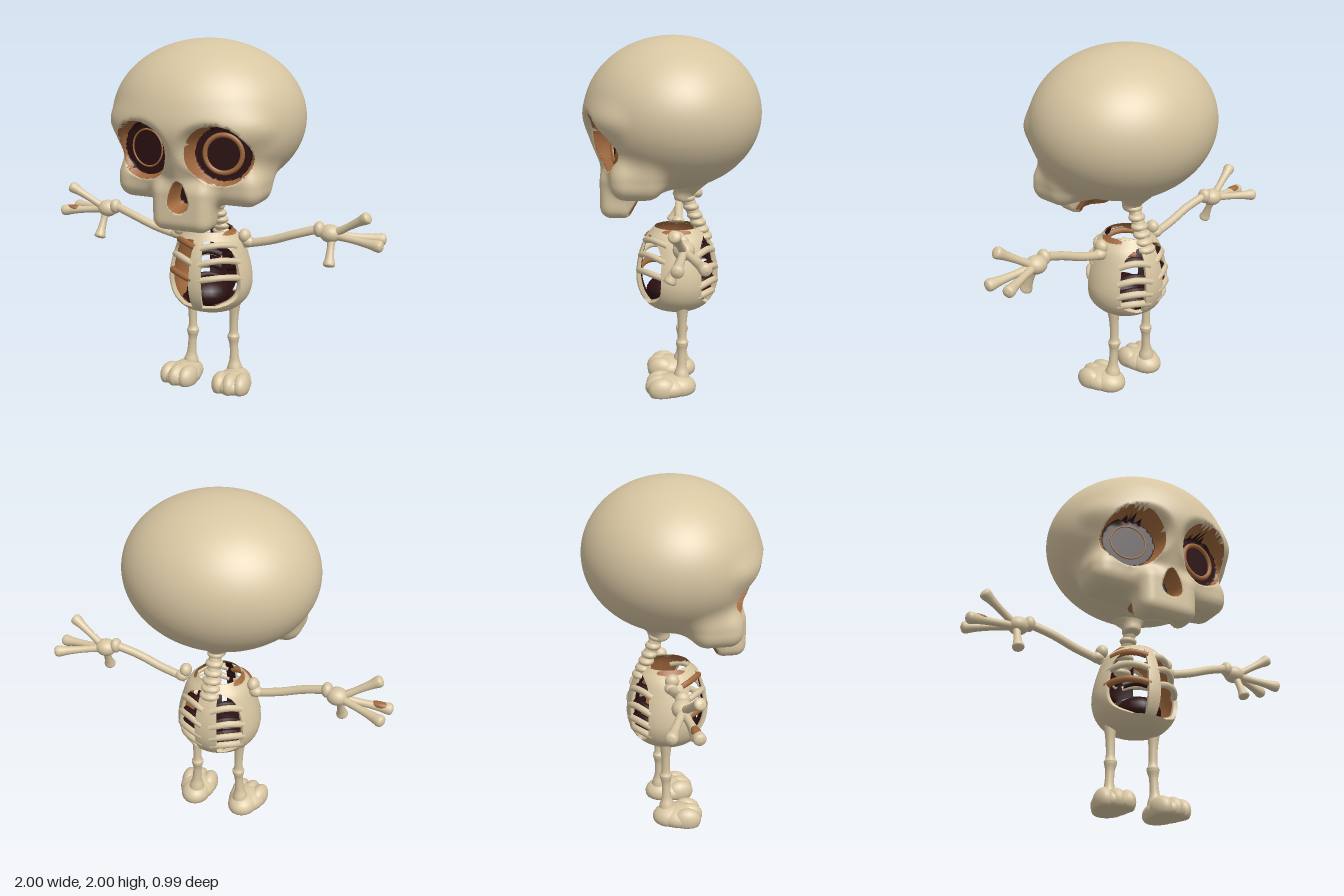
import * as THREE from 'three';
import { mergeVertices } from 'three/addons/utils/BufferGeometryUtils.js';
import { ParametricGeometry } from 'three/addons/geometries/ParametricGeometry.js';

const V = (x, y, z) => new THREE.Vector3(x, y, z);
const material = (name, color) => {
  const m = new THREE.MeshStandardMaterial({ color });
  m.name = name;
  return m;
};

export function createModel() {
  const bone = material('bone', 0xd8c6a2);
  const brown = material('innerBrown', 0xa0683c);
  const dark = material('hollowDark', 0x2c1012);
  const root = new THREE.Group();
  root.name = 'skeleton';

  const add = (name, geometry, mat = bone, parent = root) => {
    const mesh = new THREE.Mesh(geometry, mat);
    mesh.name = name;
    parent.add(mesh);
    return mesh;
  };
  const ball = (name, p, rx, ry, rz, parent = root, mat = bone) => {
    const mesh = add(name, new THREE.SphereGeometry(1, 20, 14), mat, parent);
    mesh.position.copy(p);
    mesh.scale.set(rx, ry, rz);
  };
  // Turned bone from a to b; profile is a list of [radius, fraction of length]
  const turned = (name, a, b, profile, parent = root) => {
    const dir = b.clone().sub(a), len = dir.length();
    const curve = new THREE.SplineCurve(profile.map(([r, t]) => new THREE.Vector2(r, t * len)));
    const pts = curve.getPoints(24);
    pts.forEach(p => { p.x = Math.max(p.x, 0); });
    const mesh = add(name, new THREE.LatheGeometry(pts, 16), bone, parent);
    mesh.position.copy(a);
    mesh.quaternion.setFromUnitVectors(V(0, 1, 0), dir.normalize());
  };

  // ---- Skull: a sphere drawn onto blended solids, then sunk at the face hollows ----
  const ellipsoid = (p, cx, cy, cz, rx, ry, rz) => {
    const x = (p.x - cx) / rx, y = (p.y - cy) / ry, z = (p.z - cz) / rz;
    const k0 = Math.hypot(x, y, z), k1 = Math.hypot(x / rx, y / ry, z / rz);
    return k1 < 1e-6 ? -Math.min(rx, ry, rz) : k0 * (k0 - 1) / k1;
  };
  const roundBox = (p, cx, cy, cz, hx, hy, hz, r) => {
    const x = Math.abs(p.x - cx) - hx + r, y = Math.abs(p.y - cy) - hy + r, z = Math.abs(p.z - cz) - hz + r;
    return Math.hypot(Math.max(x, 0), Math.max(y, 0), Math.max(z, 0)) + Math.min(Math.max(x, y, z), 0) - r;
  };
  const blend = (a, b, k) => {
    const h = Math.max(k - Math.abs(a - b), 0) / k;
    return Math.min(a, b) - h * h * k / 4;
  };
  const carve = (a, b, k) => -blend(-a, b, k);
  const browBevel = p => ellipsoid({ x: Math.abs(p.x), y: p.y, z: p.z }, 0.22, 1.43, 0.55, 0.21, 0.19, 0.19);
  const mouth = p => ellipsoid(p, 0, 1.08, 0.16, 0.135, 0.14, 0.15);
  const skullSolid = p => {
    let d = ellipsoid(p, 0, 1.58, 0, 0.54, 0.42, 0.49);
    d = blend(d, ellipsoid(p, 0, 1.57, 0.24, 0.455, 0.16, 0.235), 0.05);
    d = blend(d, roundBox(p, 0, 1.25, 0.19, 0.42, 0.1, 0.14, 0.085), 0.1);
    d = blend(d, ellipsoid(p, 0, 1.42, 0.28, 0.09, 0.25, 0.135), 0.06);
    d = blend(d, roundBox(p, 0, 1.14, 0.305, 0.17, 0.135, 0.095, 0.065), 0.06);
    d = carve(d, browBevel(p), 0.03);
    return carve(d, mouth(p), 0.015);
  };
  const hollows = [
    { x: 0.222, y: 1.433, rx: 0.168, ry: 0.164, taper: 0, inner: 0.88, floor: p => 0.347 - 0.2 * Math.abs(p.x) },
    { x: 0, y: 1.2, rx: 0.056, ry: 0.088, taper: 5, inner: 0.68, floor: () => 0.28 }];
  const rimDistance = (h, p) => Math.hypot(
    (Math.abs(p.x) - h.x) * (1 + h.taper * Math.max(p.y - h.y, -0.05)) / h.rx, (p.y - h.y) / h.ry);
  const hollowAt = p => p.z > 0.2 && hollows.find(h => rimDistance(h, p) < 1.15);

  const ico = new THREE.IcosahedronGeometry(1, 42);
  ico.deleteAttribute('uv');
  ico.deleteAttribute('normal');
  const skull = mergeVertices(ico, 1e-5);
  const pos = skull.attributes.position, centre = V(0, 1.45, 0.02), dir = V(), p = V();
  const march = () => {
    let t = 0.8;
    for (let n = 0; n < 70; n++) {
      const d = skullSolid(p.copy(centre).addScaledVector(dir, t));
      if (d < 0.0004) break;
      t -= d * 0.65;
    }
  };
  for (let i = 0; i < pos.count; i++) {
    dir.fromBufferAttribute(pos, i).normalize();
    march();
    const h = hollowAt(p);
    if (h) {
      // Pull nearby points onto the rim and the floor edge so both stay clean
      const ring = [1, h.inner].find(r => Math.abs(rimDistance(h, p) - r) * h.rx < 0.0065);
      if (ring) {
        const k = ring / rimDistance(h, p);
        p.x = Math.sign(p.x) * (h.x + (Math.abs(p.x) - h.x) * k);
        p.y = h.y + (p.y - h.y) * k;
        dir.copy(p).sub(centre).normalize();
        march();
      }
      const sink = (0.985 - rimDistance(h, p)) / (0.985 - h.inner);
      p.z += (h.floor(p) - p.z) * Math.min(1, Math.max(0, sink));
    }
    pos.setXYZ(i, p.x, p.y, p.z);
  }
  // Sort faces by colour: bone, brown hollow walls, dark depths
  const faces = [[], [], []], q = V();
  for (let i = 0; i < skull.index.count; i += 3) {
    const ids = [0, 1, 2].map(k => skull.index.getX(i + k));
    q.set(0, 0, 0);
    ids.forEach(id => q.add(p.fromBufferAttribute(pos, id)));
    q.divideScalar(3);
    const h = hollowAt(q), d = h ? rimDistance(h, q) : 2;
    let c = 0;
    if (d < 0.985) c = d < h.inner + 0.01 ? 2 : 1;
    else if (mouth(q) < 0.004) c = 1;
    faces[c].push(...ids);
  }
  skull.setIndex(faces.flat());
  let start = 0;
  faces.forEach((f, c) => { skull.addGroup(start, f.length, c); start += f.length; });
  skull.computeVertexNormals();
  add('skull', skull, [bone, brown, dark]);
  for (const s of [-1, 1]) {
    const ring = add('socketRing', new THREE.TorusGeometry(0.1, s > 0 ? 0.013 : 0.005, 8, 40), brown);
    ring.position.set(s * 0.222, 1.433, 0.305);
    ring.rotation.y = s * 0.2;
  }

  // ---- Neck ----
  const neck = new THREE.CatmullRomCurve3([V(0, 0.88, -0.18), V(0, 1.0, -0.125), V(0, 1.15, -0.06)]);
  for (let i = 0; i < 7; i++) ball('vertebra', neck.getPoint(i / 6), 0.058 - i * 0.002, 0.027, 0.045);
  add('neckCore', new THREE.TubeGeometry(neck, 16, 0.036, 12));
  turned('skullBase', V(0, 1.08, -0.055), V(0, 1.23, -0.085), [[0, 0], [0.045, 0.04], [0.065, 0.4], [0.14, 1]]);

  // ---- Rib cage: curved shell slabs around a common body surface ----
  // Each profile point holds half width, height and half depth
  const body = new THREE.CatmullRomCurve3([
    V(0.002, 0.455, 0.002), V(0.13, 0.468, 0.12), V(0.18, 0.5, 0.175), V(0.22, 0.55, 0.21), V(0.24, 0.62, 0.23),
    V(0.235, 0.7, 0.23), V(0.21, 0.8, 0.21), V(0.18, 0.88, 0.175), V(0.135, 0.925, 0.14)]);
  const onBody = (v, a, s, out = V()) => {
    const b = body.getPoint(Math.min(Math.max(v, 0), 1));
    return out.set(b.x * s * Math.sin(a), b.y + (1 - s) * 0.15, -0.025 + b.z * s * Math.cos(a));
  };
  const slab = (name, from, to, v0, v1, outer = 1, inner = 0.89, mat = bone) => {
    const g = new ParametricGeometry((u, w, out) => {
      const v = v0 + (v1 - v0) * w, a0 = from(v), a1 = to(v);
      const thin = outer - (outer - inner) * Math.min(1, 14 * Math.min(w, 1 - w));
      if (u <= 0.47) onBody(v, a0 + (a1 - a0) * u / 0.47, outer, out);
      else if (u <= 0.5) onBody(v, a1, outer + (thin - outer) * (u - 0.47) / 0.03, out);
      else if (u <= 0.97) onBody(v, a1 + (a0 - a1) * (u - 0.5) / 0.47, thin, out);
      else onBody(v, a0, thin + (outer - thin) * (u - 0.97) / 0.03, out);
    }, 100, 16);
    add(name, g, mat);
  };
  const fixed = a => () => a;
  const corner = v => Math.pow(Math.min(1, Math.abs((v - 0.595) / 0.345)), 4);
  const frontEdge = v => 1.18 - 0.98 * corner(v);
  const backEdge = v => 2.2 + 0.7 * corner(v);
  const full = fixed(Math.PI * 2);
  slab('pelvisBowl', fixed(0), full, 0, 0.29);
  slab('pelvisLining', fixed(0), full, 0.02, 0.27, 0.885, 0.875, dark);
  slab('collarRim', fixed(0), full, 0.92, 1);
  slab('collarLining', fixed(0), full, 0.93, 0.99, 0.885, 0.875, brown);
  slab('sternum', fixed(-0.15), fixed(0.15), 0.22, 0.97);
  slab('sternumLining', fixed(-0.14), fixed(0.14), 0.26, 0.94, 0.885, 0.875, dark);
  slab('spineStrip', fixed(Math.PI - 0.28), fixed(Math.PI + 0.28), 0.22, 0.97);
  slab('spineLining', fixed(Math.PI - 0.45), fixed(Math.PI + 0.45), 0.26, 0.94, 0.88, 0.86, dark);
  ball('lowerCore', V(0, 0.565, 0.01), 0.125, 0.09, 0.14, root, dark);
  for (const s of [-1, 1]) {
    const low = s > 0 ? frontEdge : v => -backEdge(v);
    const high = s > 0 ? backEdge : v => -frontEdge(v);
    slab('sidePanel', low, high, 0.25, 0.94);
    slab('sideLining', v => low(v) + 0.01, v => high(v) - 0.01, 0.27, 0.93, 0.888, 0.875, brown);
    const rib = (name, v, a0, a1, scale, r, mat) => {
      const pts = [0, 1, 2, 3, 4].map(i =>
        onBody(v + 0.03 * Math.sin(i * Math.PI / 4), s * (a0 + (a1 - a0) * i / 4), scale));
      add(name, new THREE.TubeGeometry(new THREE.CatmullRomCurve3(pts), 20, r, 10), mat);
    };
    [0.58, 0.7, 0.82].forEach((v, i) =>
      rib('frontRib', v, 0.08, 1.28, 0.93, 0.018, s < 0 && i !== 1 ? brown : bone));
    for (const v of [0.39, 0.5, 0.62, 0.74]) {
      rib('backRib', v, 2.14, Math.PI - 0.1, 0.94, 0.02, bone);
      rib('backRibLining', v, 2.18, Math.PI - 0.1, 0.85, 0.019, dark);
    }
  }

  // ---- Limbs, mirrored ----
  const fingerShape = [[0, 0], [0.022, 0.04], [0.02, 0.4], [0.025, 0.72], [0.033, 0.9], [0.026, 0.97], [0, 1]];
  for (const s of [-1, 1]) {
    const side = s > 0 ? 'left' : 'right';
    const arm = new THREE.Group();
    arm.name = side + 'Arm';
    root.add(arm);
    ball('shoulderKnob', V(s * 0.205, 0.91, -0.03), 0.034, 0.04, 0.04, arm);
    ball('shoulderJoint', V(s * 0.225, 0.875, -0.04), 0.04, 0.032, 0.036, arm);
    const path = new THREE.CatmullRomCurve3([
      V(s * 0.2, 0.86, -0.04), V(s * 0.36, 0.9, -0.035), V(s * 0.5, 0.95, -0.035), V(s * 0.66, 1.0, -0.055)]);
    add('armBone', new THREE.TubeGeometry(path, 24, 0.024, 14), bone, arm);
    ball('wrist', V(s * 0.635, 0.99, -0.05), 0.032, 0.044, 0.04, arm);
    ball('palm', V(s * 0.695, 0.97, -0.06), 0.06, 0.05, 0.056, arm);
    const tips = [[0.98, 0.94, -0.17], [1, 0.935, -0.025], [0.925, 1.1, -0.01], [0.715, 0.8, 0.015]];
    tips.forEach(([x, y, z], i) => turned(i === 3 ? 'thumb' : 'finger',
      V(s * 0.705, 0.965, -0.06), V(s * x, y, z), fingerShape, arm));
    if (s < 0) ball('fingerPatch', V(-0.925, 0.955, -0.036), 0.055, 0.019, 0.024, arm, brown);

    const leg = new THREE.Group();
    leg.name = side + 'Leg';
    root.add(leg);
    turned('thighBone', V(s * 0.13, 0.275, -0.055), V(s * 0.135, 0.51, -0.055),
      [[0.026, 0], [0.036, 0.07], [0.025, 0.2], [0.026, 0.6], [0.038, 1]], leg);
    turned('shinBone', V(s * 0.143, 0.06, -0.05), V(s * 0.13, 0.295, -0.055),
      [[0.05, 0], [0.042, 0.2], [0.028, 0.4], [0.025, 0.75], [0.035, 0.95], [0.026, 1]], leg);

    // Foot parts are flattened on the ground
    const foot = new THREE.Group();
    foot.name = side + 'Foot';
    foot.position.set(s * 0.158, 0, 0);
    foot.rotation.y = s * 0.12;
    leg.add(foot);
    const sole = (name, x, y, z, rx, ry, rz) => {
      const g = new THREE.SphereGeometry(1, 24, 16).scale(rx, ry, rz).translate(x, y, z);
      const a = g.attributes.position;
      for (let i = 0; i < a.count; i++) a.setY(i, Math.max(0, a.getY(i)));
      g.computeVertexNormals();
      add(name, g, bone, foot);
    };
    sole('heel', 0, 0.035, -0.03, 0.088, 0.07, 0.105);
    sole('instep', 0, 0.035, 0.025, 0.108, 0.07, 0.125);
    for (const i of [-1, 0, 1]) sole('toe', i * 0.062, 0.04, 0.075 - Math.abs(i) * 0.012, 0.05, 0.068, 0.08);
  }
  return root;
}
